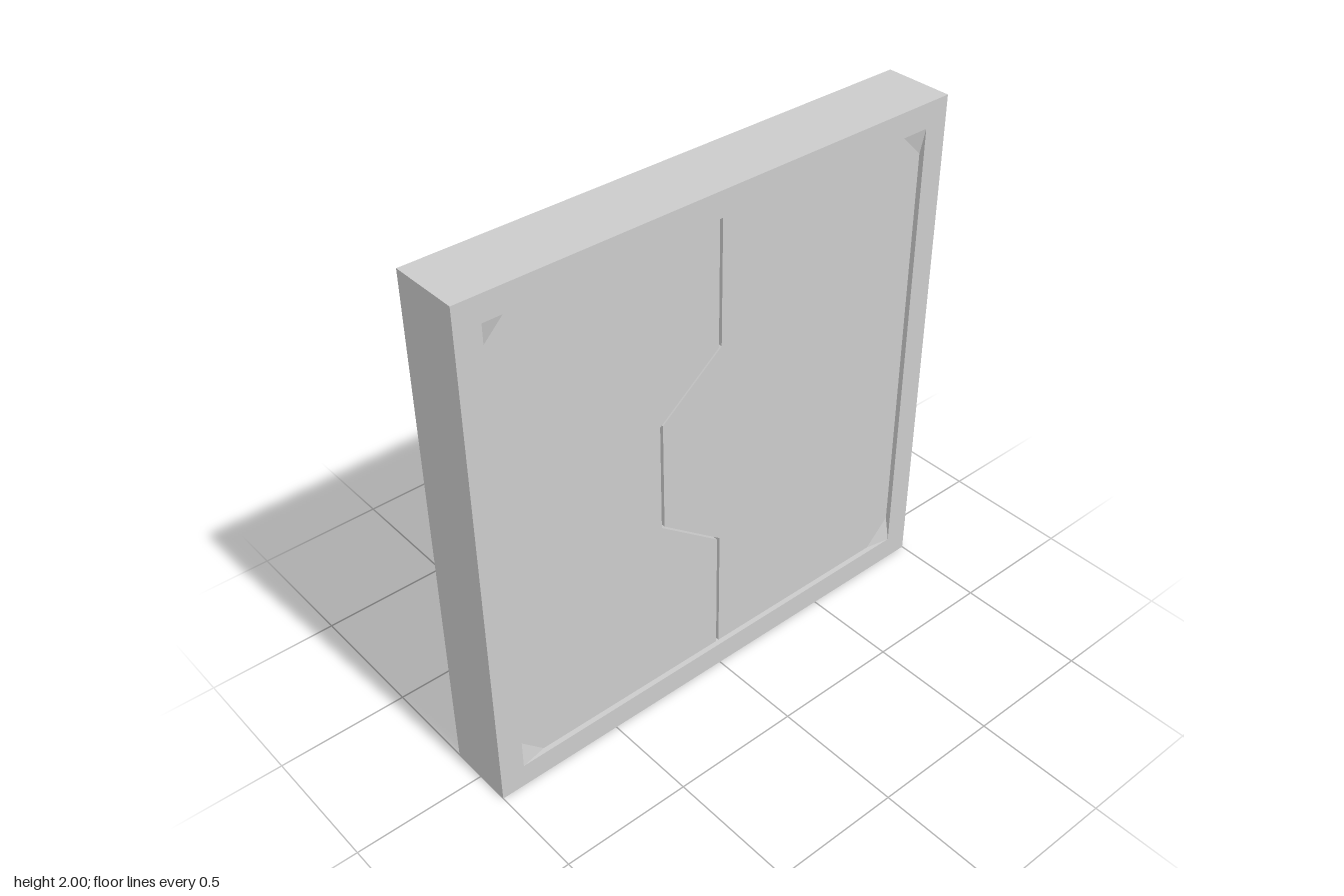
import * as THREE from 'three';
import { ConvexGeometry } from 'three/addons/geometries/ConvexGeometry.js';

const HALF_X = 0.132;   // half thickness of the frame
const DOOR_X = 0.112;   // half thickness of the recessed leaves
const IN = 0.905;       // half size of the opening
const GAP = 0.006;      // half width of the seam
const MID = 1.0;        // height of the centre

const material = new THREE.MeshStandardMaterial({ color: 0xcccccc, flatShading: true });

// Extrude an outline drawn in (z, y) symmetrically along x
function slab(shape, halfX) {
  const geometry = new THREE.ExtrudeGeometry(shape, { depth: halfX * 2, bevelEnabled: false });
  geometry.translate(0, 0, -halfX);
  geometry.rotateY(-Math.PI / 2);
  return geometry;
}

function outline(points, Type = THREE.Shape) {
  return new Type(points.map(([z, y]) => new THREE.Vector2(z, y)));
}

const square = (h) => [[-h, MID - h], [h, MID - h], [h, MID + h], [-h, MID + h]];

export function createModel() {
  const model = new THREE.Group();
  model.name = 'slidingDoor';
  const add = (geometry, name) => {
    const mesh = new THREE.Mesh(geometry, material);
    mesh.name = name;
    model.add(mesh);
  };

  // Square frame with an open middle
  const frame = outline(square(1));
  frame.holes.push(outline(square(IN), THREE.Path));
  add(slab(frame, HALF_X), 'frame');

  // Two interlocking leaves separated by a thin stepped seam
  const seam = [
    [-0.003, MID - IN], [-0.003, 0.595], [0.25, 0.79],
    [0.25, 1.215], [-0.003, 1.415], [-0.003, MID + IN],
  ];
  for (const [side, name] of [[1, 'frontLeaf'], [-1, 'backLeaf']]) {
    const edge = seam.map(([z, y]) => [z + side * GAP, y]);
    const leaf = outline([...edge, [side * IN, MID + IN], [side * IN, MID - IN]]);
    add(slab(leaf, DOOR_X), name);
  }

  // Sloped triangular fillets in the corners on both faces
  const leg = 0.1;
  for (const sx of [-1, 1]) for (const sy of [-1, 1]) for (const sz of [-1, 1]) {
    const point = (x, dy, dz) => new THREE.Vector3(sx * x, MID + sy * (IN - dy), sz * (IN - dz));
    add(new ConvexGeometry([
      point(HALF_X, 0, 0), point(DOOR_X, 0, 0), point(DOOR_X, leg, 0), point(DOOR_X, 0, leg),
    ]), 'cornerFillet');
  }

  return model;
}
